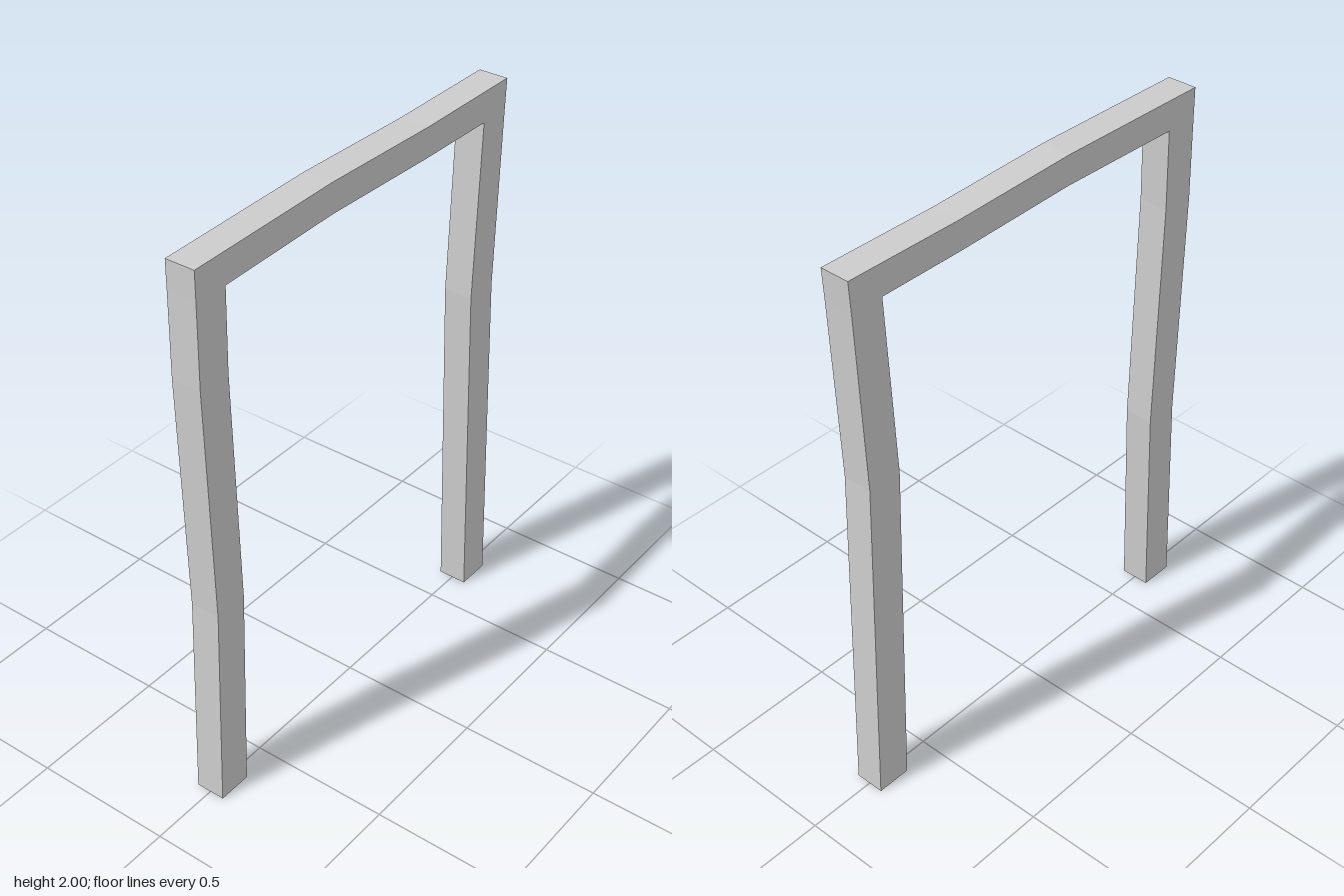
import * as THREE from 'three';

const THICKNESS = 0.105;

// Beam from a side outline of [z, y] points, extruded across x.
function beam(name, outline, material) {
  const shape = new THREE.Shape(outline.map(([z, y]) => new THREE.Vector2(z, y)));
  const geometry = new THREE.ExtrudeGeometry(shape, { depth: THICKNESS, bevelEnabled: false });
  geometry.translate(0, 0, -THICKNESS / 2);
  geometry.rotateY(-Math.PI / 2);
  const mesh = new THREE.Mesh(geometry, material);
  mesh.name = name;
  return mesh;
}

export function createModel() {
  const material = new THREE.MeshStandardMaterial({ color: 0xcccccc, flatShading: true });
  const group = new THREE.Group();
  group.name = 'doorFrame';

  // Front post, bowed inward low down and outward higher up
  group.add(beam('frontPost', [
    [0.63, 0], [0.753, 0], [0.73, 0.76], [0.755, 1.6], [0.753, 1.885],
    [0.63, 1.885], [0.634, 1.6], [0.608, 0.76],
  ], material));

  // Back post, with a single inward kink
  group.add(beam('backPost', [
    [-0.753, 0], [-0.63, 0], [-0.597, 1.25], [-0.63, 1.882],
    [-0.747, 1.882], [-0.72, 1.25],
  ], material));

  // Lintel across both posts, slightly arched toward the front
  group.add(beam('lintel', [
    [0.753, 1.885], [0.753, 1.99], [0.15, 2], [-0.32, 1.988], [-0.753, 1.99],
    [-0.747, 1.882], [-0.63, 1.882], [-0.32, 1.884], [0.15, 1.896], [0.63, 1.885],
  ], material));

  return group;
}
